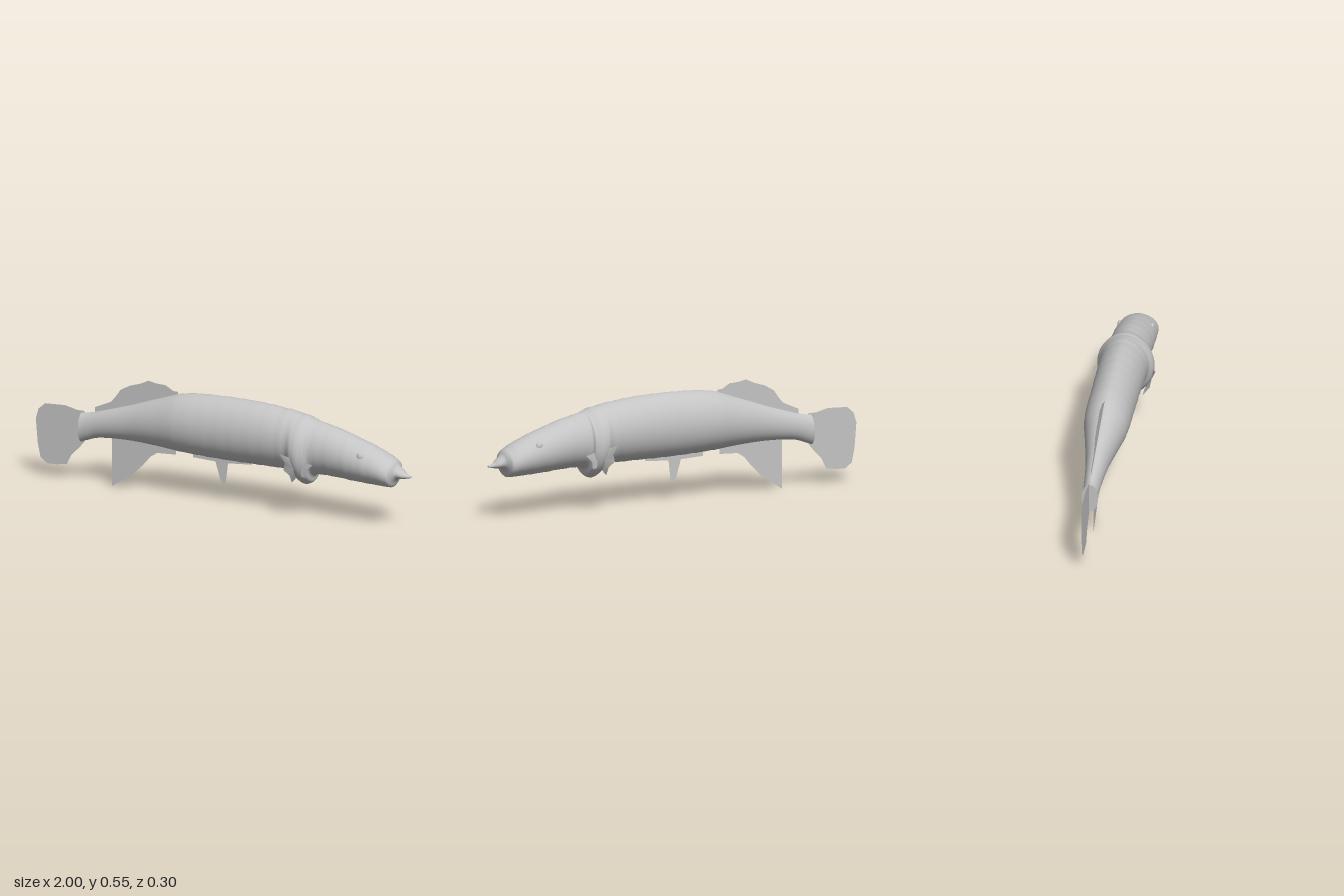
import * as THREE from 'three';

export function createModel() {
  const group = new THREE.Group();
  group.name = 'fish';
  const skin = new THREE.MeshStandardMaterial({ color: 0xc4c4c4, side: THREE.DoubleSide });
  skin.name = 'pale grey';

  const add = (name, geometry) => {
    const mesh = new THREE.Mesh(geometry, skin);
    mesh.name = name;
    group.add(mesh);
    return mesh;
  };

  // Body stations from tail to snout: x, top, bottom, half width
  const stations = [
    [-0.755, 0.342, 0.198, 0.04], [-0.72, 0.346, 0.212, 0.038], [-0.65, 0.365, 0.232, 0.041],
    [-0.5, 0.412, 0.24, 0.056], [-0.35, 0.465, 0.234, 0.082], [-0.2, 0.511, 0.222, 0.106],
    [0, 0.524, 0.215, 0.109], [0.2, 0.521, 0.215, 0.111], [0.34, 0.508, 0.215, 0.114],
    [0.385, 0.502, 0.208, 0.118], [0.415, 0.495, 0.175, 0.134], [0.45, 0.489, 0.156, 0.135],
    [0.48, 0.479, 0.168, 0.124], [0.5, 0.472, 0.208, 0.104], [0.6, 0.45, 0.211, 0.1],
    [0.7, 0.42, 0.205, 0.1], [0.8, 0.386, 0.201, 0.097], [0.87, 0.355, 0.2, 0.093],
    [0.905, 0.335, 0.201, 0.084], [0.918, 0.325, 0.228, 0.062], [0.93, 0.308, 0.242, 0.042],
    [0.955, 0.287, 0.246, 0.03], [0.975, 0.272, 0.25, 0.014], [1.0, 0.263, 0.256, 0.006],
  ];
  const heights = new THREE.CatmullRomCurve3(
    stations.map(([x, top, bottom]) => new THREE.Vector3(x, top, bottom)), false, 'catmullrom', 0.5);
  const widths = new THREE.CatmullRomCurve3(
    stations.map(([x, , , w]) => new THREE.Vector3(x, w, 0)), false, 'catmullrom', 0.5);

  const rings = 184, sides = 48;
  const positions = [], indices = [];
  for (let i = 0; i <= rings; i++) {
    const p = heights.getPoint(i / rings);
    const w = widths.getPoint(i / rings).y;
    // Faint folds running around the trunk and head
    const fold = p.x > -0.25 && p.x < 0.9 ? 1 + 0.005 * Math.sin(p.x * 75) + 0.004 * Math.sin(p.x * 131) : 1;
    const mid = (p.y + p.z) / 2, half = (p.y - p.z) / 2;
    for (let j = 0; j < sides; j++) {
      const a = (j / sides) * Math.PI * 2, s = Math.sin(a);
      positions.push(p.x, mid + half * fold * Math.cos(a), Math.sign(s) * Math.abs(s) ** 1.12 * w * fold);
    }
  }
  for (let i = 0; i < rings; i++) {
    for (let j = 0; j < sides; j++) {
      const a = i * sides + j, b = i * sides + ((j + 1) % sides);
      indices.push(a, b, a + sides, b, b + sides, a + sides);
    }
  }
  const body = new THREE.BufferGeometry();
  body.setAttribute('position', new THREE.Float32BufferAttribute(positions, 3));
  body.setIndex(indices);
  body.computeVertexNormals();
  add('body', body);

  // Flat caps at the tail stump and the snout tip
  const cap = (name, [x, top, bottom, w], turn) => {
    const disc = add(name, new THREE.CircleGeometry(1, sides));
    disc.scale.set(w, (top - bottom) / 2, 1);
    disc.rotation.y = turn;
    disc.position.set(x, (top + bottom) / 2, 0);
  };
  cap('tailStump', stations[0], -Math.PI / 2);
  cap('snoutTip', stations[stations.length - 1], Math.PI / 2);

  // Thin upright fins on the midline
  const fin = (name, outline) => {
    const shape = new THREE.Shape(outline.map(([x, y]) => new THREE.Vector2(x, y)));
    add(name, new THREE.ShapeGeometry(shape)).position.z = -0.004;
  };
  fin('tailFin', [
    [-0.74, 0.35], [-0.78, 0.35], [-0.845, 0.365], [-0.95, 0.36], [-0.985, 0.33], [-1, 0.28],
    [-0.99, 0.16], [-0.975, 0.09], [-0.94, 0.065], [-0.89, 0.066], [-0.835, 0.075],
    [-0.81, 0.125], [-0.77, 0.165], [-0.74, 0.2],
  ]);
  fin('dorsalFin', [
    [-0.685, 0.34], [-0.685, 0.377], [-0.6, 0.415], [-0.575, 0.445], [-0.55, 0.48], [-0.5, 0.508],
    [-0.445, 0.525], [-0.4, 0.546], [-0.36, 0.538], [-0.31, 0.536], [-0.27, 0.513],
    [-0.245, 0.512], [-0.245, 0.45],
  ]);
  fin('analFin', [
    [-0.595, 0.26], [-0.595, 0], [-0.487, 0.07], [-0.43, 0.125], [-0.39, 0.172],
    [-0.355, 0.195], [-0.255, 0.2], [-0.255, 0.25],
  ]);
  fin('pelvicFin', [
    [-0.165, 0.24], [-0.165, 0.2], [-0.045, 0.195], [-0.02, 0.11], [-0.005, 0.088],
    [0.01, 0.1], [0.022, 0.195], [0.15, 0.205], [0.15, 0.24],
  ]);

  // Small ragged pectoral fins: fans of points, mirrored to both flanks
  const fan = (name, points, side) => {
    const g = new THREE.BufferGeometry();
    g.setAttribute('position', new THREE.Float32BufferAttribute(
      points.flatMap(([x, y, z]) => [x, y, z * side]), 3));
    const order = [];
    for (let i = 1; i < points.length - 1; i++) order.push(0, i, i + 1);
    g.setIndex(order);
    g.computeVertexNormals();
    add(name, g);
  };
  for (const side of [1, -1]) {
    const label = side > 0 ? 'Right' : 'Left';
    fan('pectoralFin' + label, [
      [0.435, 0.26, 0.124], [0.435, 0.305, 0.125], [0.375, 0.33, 0.15], [0.392, 0.28, 0.13],
      [0.38, 0.243, 0.122], [0.41, 0.22, 0.117], [0.405, 0.175, 0.082], [0.43, 0.2, 0.09],
    ], side);
    fan('pectoralFinFront' + label, [
      [0.47, 0.26, 0.115], [0.485, 0.295, 0.115], [0.53, 0.285, 0.113], [0.5, 0.255, 0.115],
      [0.49, 0.215, 0.105], [0.47, 0.22, 0.11],
    ], side);

    // Slightly bulging eyes
    const eye = add('eye' + label, new THREE.SphereGeometry(0.02, 20, 14));
    eye.position.set(0.765, 0.348, 0.077 * side);
    eye.scale.z = 0.6;
  }
  return group;
}
